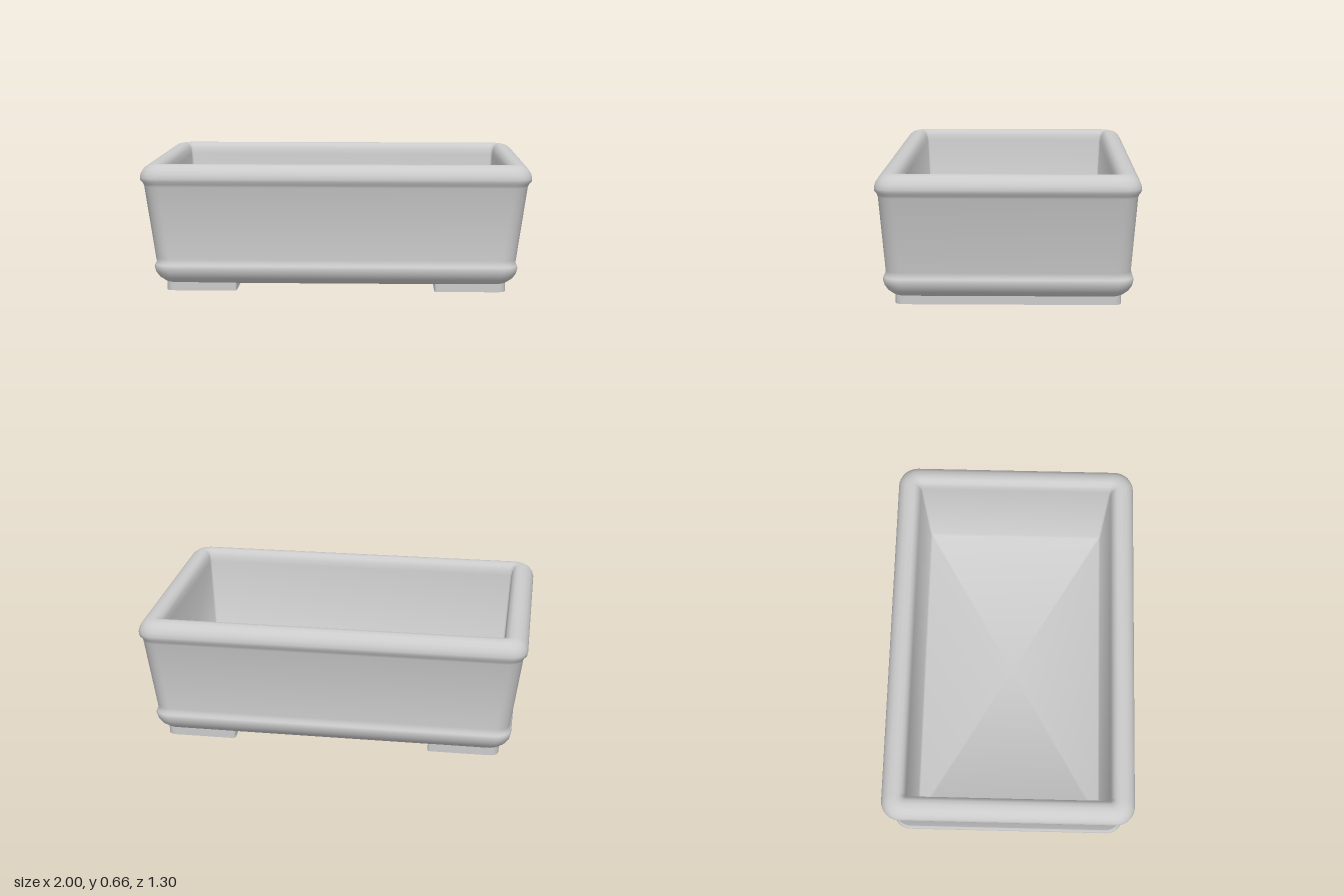
import * as THREE from 'three';
import { toCreasedNormals } from 'three/addons/utils/BufferGeometryUtils.js';

const material = new THREE.MeshStandardMaterial({ color: 0xcccccc });
const CORNER_STEPS = 8;

// Points of a rounded rectangle in the xz plane, from half sizes and corner radius
function roundedRing(hx, hz, r) {
  const points = [];
  const corners = [[1, 1], [-1, 1], [-1, -1], [1, -1]];
  corners.forEach(([sx, sz], c) => {
    for (let i = 0; i <= CORNER_STEPS; i++) {
      const a = (c + i / CORNER_STEPS) * Math.PI / 2;
      points.push([sx * (hx - r) + r * Math.cos(a), sz * (hz - r) + r * Math.sin(a)]);
    }
  });
  return points;
}

// Skin a list of rings [halfX, halfZ, y, radius] into one surface
function loft(rings, crease) {
  const positions = [], index = [];
  const n = 4 * (CORNER_STEPS + 1);
  for (const [hx, hz, y, r] of rings) {
    for (const [x, z] of roundedRing(hx, hz, r)) positions.push(x, y, z);
  }
  for (let k = 0; k < rings.length - 1; k++) {
    for (let i = 0; i < n; i++) {
      const a = k * n + i, b = k * n + (i + 1) % n;
      index.push(a, a + n, b, b, a + n, b + n);
    }
  }
  const geometry = new THREE.BufferGeometry();
  geometry.setAttribute('position', new THREE.Float32BufferAttribute(positions, 3));
  geometry.setIndex(index);
  return toCreasedNormals(geometry, crease);
}

// Slab foot running the full depth, rounded in plan
function foot(side) {
  const x0 = 0.51, x1 = 0.875, hz = 0.56, r = 0.05, s = 0.015;
  const shape = new THREE.Shape();
  shape.moveTo(x0 + s, -hz);
  shape.lineTo(x1 - r, -hz);
  shape.quadraticCurveTo(x1, -hz, x1, -hz + r);
  shape.lineTo(x1, hz - r);
  shape.quadraticCurveTo(x1, hz, x1 - r, hz);
  shape.lineTo(x0 + s, hz);
  shape.quadraticCurveTo(x0, hz, x0, hz - s);
  shape.lineTo(x0, -hz + s);
  shape.quadraticCurveTo(x0, -hz, x0 + s, -hz);
  const geometry = new THREE.ExtrudeGeometry(shape, { depth: 0.05, bevelEnabled: false, curveSegments: 8 });
  geometry.rotateX(-Math.PI / 2);
  const mesh = new THREE.Mesh(toCreasedNormals(geometry, 0.6), material);
  mesh.name = side > 0 ? 'leftFoot' : 'rightFoot';
  if (side < 0) mesh.rotation.y = Math.PI;
  return mesh;
}

export function createModel() {
  const group = new THREE.Group();
  group.name = 'planter';

  // Pot: underside, base bead, tapered wall, rolled rim, inner wall, floor
  const pot = new THREE.Mesh(loft([
    [0, 0, 0.04, 0],
    [0.87, 0.555, 0.04, 0.05],
    [0.885, 0.572, 0.05, 0.06],
    [0.912, 0.597, 0.07, 0.08],
    [0.928, 0.612, 0.095, 0.085],
    [0.936, 0.62, 0.125, 0.09],
    [0.932, 0.616, 0.137, 0.088],
    [0.925, 0.608, 0.148, 0.085],
    [0.928, 0.605, 0.17, 0.08],
    [0.978, 0.632, 0.545, 0.08],
    [0.984, 0.637, 0.56, 0.085],
    [0.997, 0.648, 0.574, 0.095],
    [1.0, 0.65, 0.59, 0.1],
    [0.995, 0.645, 0.612, 0.1],
    [0.98, 0.63, 0.636, 0.09],
    [0.958, 0.608, 0.652, 0.075],
    [0.93, 0.58, 0.659, 0.055],
    [0.908, 0.556, 0.657, 0.035],
    [0.89, 0.54, 0.645, 0.02],
    [0.882, 0.53, 0.625, 0.015],
    [0.878, 0.525, 0.595, 0.015],
    [0.848, 0.498, 0.085, 0.015],
    [0.838, 0.488, 0.075, 0.015],
    [0, 0, 0.075, 0],
  ], 1.2), material);
  pot.name = 'pot';
  group.add(pot);

  for (const side of [1, -1]) group.add(foot(side));
  return group;
}
